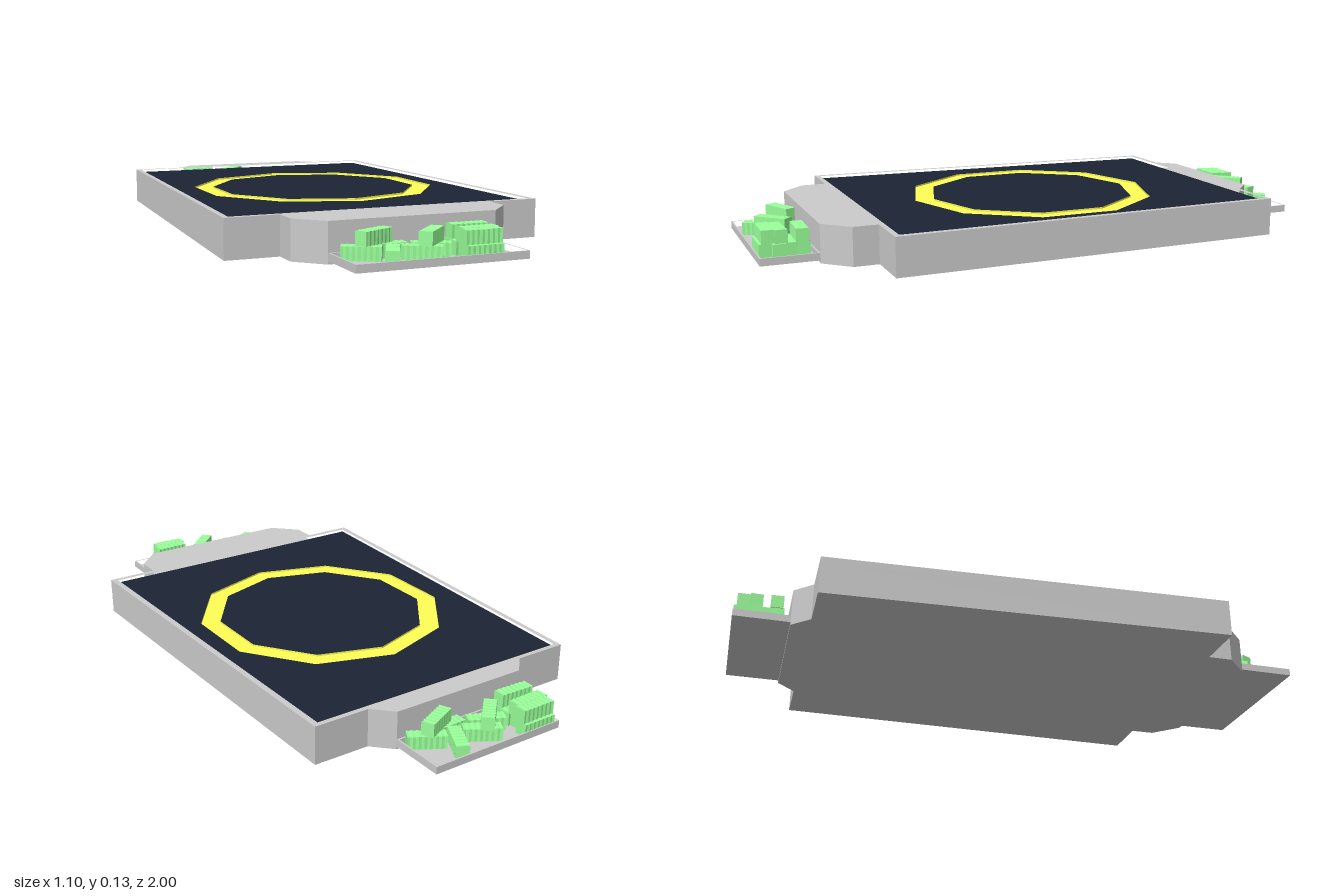
import * as THREE from 'three';

const mat = (color, extra = {}) => new THREE.MeshStandardMaterial({ color, flatShading: true, ...extra });
const grey = mat(0xcccccc);
const dark = mat(0x1c2536);
const yellow = mat(0xffff55, { side: THREE.DoubleSide });
const green = mat(0x99ff99);

const named = (name, geometry, material) => {
  const m = new THREE.Mesh(geometry, material);
  m.name = name;
  return m;
};

// Plan outlines are lists of [x, z]
const toPoints = (pts) => pts.map(([x, z]) => new THREE.Vector2(x, -z));

function planShape(outline, ...holes) {
  const s = new THREE.Shape(toPoints(outline));
  holes.forEach((h) => s.holes.push(new THREE.Path(toPoints(h))));
  return s;
}

const prism = (shape, y0, y1) =>
  new THREE.ExtrudeGeometry(shape, { depth: y1 - y0, bevelEnabled: false }).rotateX(-Math.PI / 2).translate(0, y0, 0);

const flat = (shape, y) => new THREE.ShapeGeometry(shape).rotateX(-Math.PI / 2).translate(0, y, 0);

const rect = (x0, x1, z0, z1) => [[x0, z0], [x1, z0], [x1, z1], [x0, z1]];

// Decagon with a corner pointing to the back and front
const CX = 0.02, CZ = -0.037;
const decagon = (r) => Array.from({ length: 10 }, (_, i) => {
  const a = (i * Math.PI) / 5;
  return [CX + r * Math.sin(a), CZ + r * Math.cos(a)];
});

// Corrugated crate: every other cross-section is pulled in
function crateGeometry() {
  const L = 0.122, S = 0.045, n = 14;
  const g = new THREE.BoxGeometry(L, S, S * 0.96, n, 1, 1);
  const p = g.attributes.position;
  for (let i = 0; i < p.count; i++) {
    const k = Math.round((p.getX(i) / L + 0.5) * n);
    if (k % 2) {
      p.setY(i, p.getY(i) * 0.94);
      p.setZ(i, p.getZ(i) * 0.9);
    }
  }
  g.computeVertexNormals();
  return g;
}

// Crate layout on the front tray: x, z, turn in degrees, level
const CRATES = [
  [-0.2, 0.855, -30, 0], [-0.155, 0.845, 25, 1], [-0.11, 0.838, 2, 0], [-0.13, 0.92, 63, 0],
  [-0.03, 0.913, -30, 0], [0.005, 0.903, 45, 1], [0.02, 0.873, -25, 0],
  [0.155, 0.842, -2, 0], [0.15, 0.882, 0, 0], [0.16, 0.924, 0, 0], [0.142, 0.966, 0, 0],
  [0.158, 0.846, -2, 1], [0.152, 0.918, 2, 1], [0.142, 0.957, 0, 1],
];

function crateStack() {
  const g = new THREE.Group();
  g.name = 'crates';
  const geo = crateGeometry();
  for (const [x, z, deg, level] of CRATES) {
    const m = named('crate', geo, green);
    m.position.set(x, 0.0375 + 0.045 * level, z);
    m.rotation.y = THREE.MathUtils.degToRad(deg);
    g.add(m);
  }
  return g;
}

// Shallow tray with a thin raised lip
function tray(name, x0, x1, z0, z1) {
  const g = new THREE.Group();
  g.name = name;
  const t = 0.006;
  const outer = rect(x0, x1, z0, z1), inner = rect(x0 + t, x1 - t, z0 + t, z1 - t);
  g.add(named('trayFloor', prism(planShape(inner), 0.01, 0.016), grey));
  g.add(named('trayLip', prism(planShape(outer, inner), 0.01, 0.035), grey));
  return g;
}

export function createModel() {
  const model = new THREE.Group();
  model.name = 'landingPlatform';

  // Platform body with the two necks, and the rim around the sunken deck
  const outline = [
    [-0.48, -0.747], [-0.29, -0.747], [-0.23, -0.81], [0.262, -0.81], [0.325, -0.747], [0.517, -0.747],
    [0.546, 0.636], [0.367, 0.636], [0.367, 0.722], [0.284, 0.807],
    [-0.285, 0.807], [-0.37, 0.722], [-0.37, 0.636], [-0.55, 0.636],
  ];
  const deck = [[-0.463, -0.73], [0.497, -0.73], [0.524, 0.617], [-0.53, 0.617]];
  model.add(named('platformBody', prism(planShape(outline), 0, 0.11), grey));
  model.add(named('platformRim', prism(planShape(outline, deck), 0.11, 0.13), grey));

  // Dark deck, split by the ring groove
  const R = 0.442, r = 0.372, deckY = 0.121, grooveY = 0.115;
  model.add(named('deckSurface', flat(planShape(deck, decagon(R)), deckY), dark));
  model.add(named('deckCentre', flat(planShape(decagon(r)), deckY), dark));
  const profile = [[r, deckY], [r, grooveY], [R, grooveY], [R, deckY]].map(([a, b]) => new THREE.Vector2(a, b));
  const ring = named('ringMarking', new THREE.LatheGeometry(profile, 10), yellow);
  ring.position.set(CX, 0, CZ);
  model.add(ring);

  // Trays and their crates; the back load is the front one turned half round
  model.add(tray('frontTray', -0.285, 0.284, 0.807, 1));
  model.add(tray('backTray', -0.23, 0.262, -1, -0.81));
  model.add(crateStack());
  const back = crateStack();
  back.rotation.y = Math.PI;
  back.position.set(-0.008, 0, -0.01);
  model.add(back);

  return model;
}
